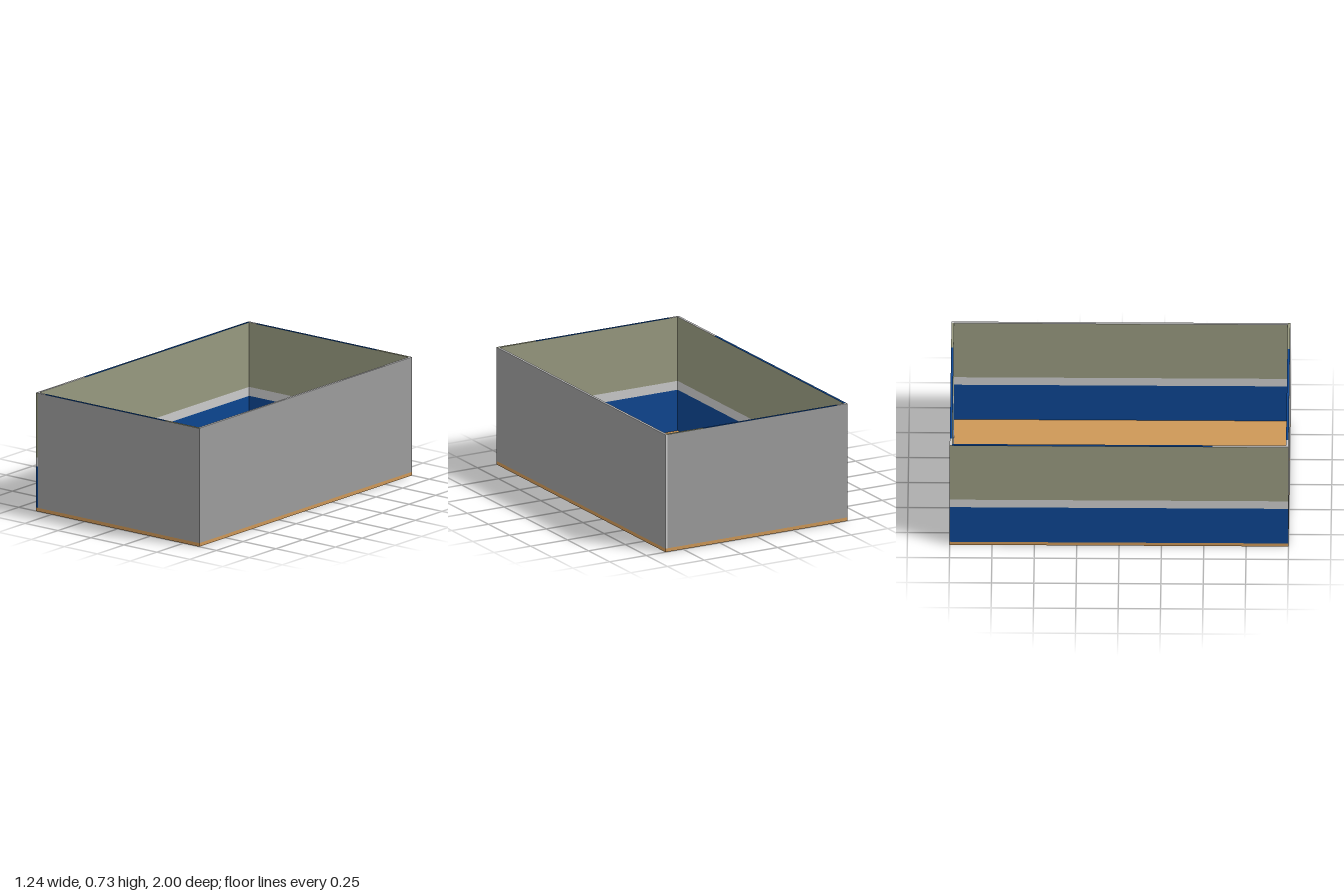
import * as THREE from 'three';

const mat = (name, color) => {
  const m = new THREE.MeshStandardMaterial({ color });
  m.name = name;
  return m;
};

export function createModel() {
  const model = new THREE.Group();
  model.name = 'openBox';
  const grey = mat('grey', 0x9b9b9b);
  const white = mat('white', 0xcacaca);
  const olive = mat('olive', 0x97997f);
  const blue = mat('blue', 0x0c4590);
  const wood = mat('wood', 0xcd9757);

  const X = 0.62, Z = 1, T = 0.015, BASE = 0.022, TOP = 0.726, CAP = 0.002;
  const bands = [
    ['blueBand', BASE, 0.275, blue],
    ['whiteBand', 0.275, 0.33, white],
    ['oliveBand', 0.33, TOP - CAP, olive],
  ];

  // box given by its lower and upper corners
  const block = (name, x0, x1, y0, y1, z0, z1, material, parent) => {
    const mesh = new THREE.Mesh(new THREE.BoxGeometry(x1 - x0, y1 - y0, z1 - z0), material);
    mesh.position.set((x0 + x1) / 2, (y0 + y1) / 2, (z0 + z1) / 2);
    mesh.name = name;
    parent.add(mesh);
  };

  // striped wall; faces lists the box sides (+x -x +y -y +z -z), null = stripe colour
  const wall = (name, x0, x1, z0, z1, faces, caps) => {
    const group = new THREE.Group();
    group.name = name;
    for (const [band, y0, y1, stripe] of bands) {
      block(band, x0, x1, y0, y1, z0, z1, faces.map((f) => f || stripe), group);
    }
    // coloured strips along the top edge
    const alongX = x1 - x0 > z1 - z0;
    for (const [from, to, material] of caps) {
      if (alongX) block('topEdge', from, to, TOP - CAP, TOP, z0, z1, material, group);
      else block('topEdge', x0, x1, TOP - CAP, TOP, from, to, material, group);
    }
    model.add(group);
  };

  block('floor', -X, X, 0, BASE, -Z, Z, wood, model);

  // four walls, each butting against the next
  wall('frontWall', -X + T, X, Z - T, Z, [grey, null, null, null, grey, null],
    [[-X + T, -0.55, white], [-0.55, 0.36, blue], [0.36, X, olive]]);
  wall('backWall', -X, X - T, -Z, -Z + T, [null, null, null, null, null, grey],
    [[-X, -0.55, white], [-0.55, 0.36, blue], [0.36, X - T, olive]]);
  wall('leftWall', X - T, X, -Z, Z - T, [grey, null, null, null, null, white],
    [[-Z, Z - T, white]]);
  wall('rightWall', -X, -X + T, -Z + T, Z, [null, null, null, null, null, null],
    [[-Z + T, 0.55, blue], [0.55, Z, white]]);

  return model;
}
